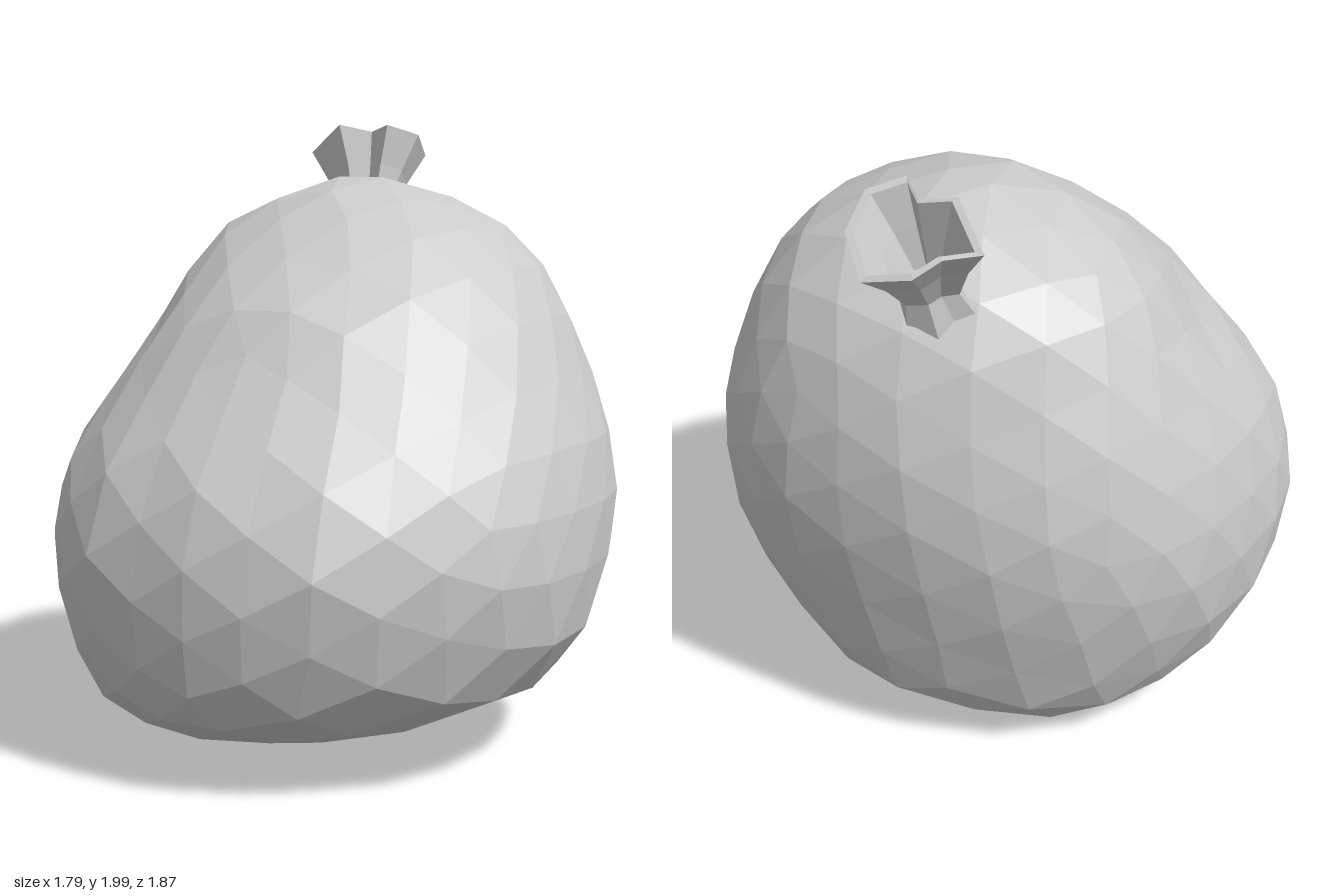
import * as THREE from 'three';

// Horizontal sections of the sack: [y, xMin, xMax, zBack, zFront]
const SECTIONS = [
  [1.83, -0.06, -0.06, -0.28, -0.28],
  [1.82, -0.14, 0.03, -0.43, -0.12],
  [1.78, -0.28, 0.22, -0.54, 0.02],
  [1.7, -0.48, 0.42, -0.67, 0.13],
  [1.6, -0.59, 0.53, -0.78, 0.26],
  [1.46, -0.67, 0.65, -0.86, 0.46],
  [1.2, -0.79, 0.78, -0.93, 0.65],
  [0.95, -0.88, 0.89, -0.94, 0.87],
  [0.7, -0.91, 0.91, -0.9, 0.95],
  [0.44, -0.87, 0.86, -0.83, 0.92],
  [0.29, -0.81, 0.78, -0.78, 0.87],
  [0.2, -0.76, 0.61, -0.73, 0.78],
  [0.1, -0.68, 0.38, -0.6, 0.6],
  [0.05, -0.59, 0.15, -0.49, 0.38],
  [0.01, -0.47, -0.1, -0.35, 0.1],
  [0, -0.28, -0.28, -0.1, -0.1],
];

// Distance along the profile, so that facets stay even in size
const radius = (s) => (s[2] - s[1] + s[4] - s[3]) / 4;
const dist = [0];
for (let i = 1; i < SECTIONS.length; i++) {
  const a = SECTIONS[i - 1], b = SECTIONS[i];
  dist.push(dist[i - 1] + Math.hypot(b[0] - a[0], radius(b) - radius(a)));
}

function sectionAt(t) {
  const d = t * dist[dist.length - 1];
  let i = 1;
  while (i < dist.length - 1 && dist[i] < d) i++;
  const k = (d - dist[i - 1]) / (dist[i] - dist[i - 1]);
  return SECTIONS[i].map((v, j) => THREE.MathUtils.lerp(SECTIONS[i - 1][j], v, k));
}

// Faceted sphere reshaped to follow the sections
function bodyGeometry() {
  const geo = new THREE.IcosahedronGeometry(1, 4);
  const pos = geo.attributes.position;
  const dir = new THREE.Vector3(), p = new THREE.Vector3();
  const dent = new THREE.Vector3(-0.52, 1.35, 0.2);
  const axis = new THREE.Vector3(0, 0.9, -0.1);
  for (let i = 0; i < pos.count; i++) {
    dir.fromBufferAttribute(pos, i).normalize();
    const [y, x0, x1, z0, z1] = sectionAt(Math.acos(THREE.MathUtils.clamp(dir.y, -1, 1)) / Math.PI);
    const h = Math.hypot(dir.x, dir.z) || 1;
    const c = dir.x / h, s = dir.z / h;
    p.set((x0 + x1) / 2 + c * (x1 - x0) / 2, y, (z0 + z1) / 2 + s * (z1 - z0) / 2);
    // the back bulges toward one side
    if (s < 0) p.x += 0.12 * s * s * (1 - c * c) * Math.sin(Math.PI * y / 1.83);
    // soft dent on the shoulder and slight unevenness of the cloth
    const push = -0.05 * Math.exp(-p.distanceToSquared(dent) / 0.06)
      + 0.012 * Math.sin(7 * p.x + 2) * Math.sin(6 * p.y) * Math.sin(8 * p.z + 1);
    p.addScaledVector(dir.subVectors(p, axis).normalize(), push);
    pos.setXYZ(i, p.x, Math.max(0, p.y), p.z);
  }
  geo.computeVertexNormals();
  return geo;
}

// Skin over a series of closed loops of points
function loft(loops) {
  const n = loops[0].length, verts = [], index = [];
  loops.forEach((loop) => loop.forEach((v) => verts.push(v.x, v.y, v.z)));
  for (let r = 0; r < loops.length - 1; r++) {
    for (let i = 0; i < n; i++) {
      const a = r * n + i, b = r * n + (i + 1) % n;
      index.push(a, b, b + n, a, b + n, a + n);
    }
  }
  let geo = new THREE.BufferGeometry();
  geo.setAttribute('position', new THREE.Float32BufferAttribute(verts, 3));
  geo.setIndex(index);
  geo = geo.toNonIndexed();
  geo.computeVertexNormals();
  return geo;
}

// Gathered neck: skirt, pinch, flared ragged rim, then the inside of the funnel
function neckGeometry() {
  const rim = [
    [-0.5, 1.9, -0.74], [-0.35, 2.0, -0.67], [-0.24, 1.975, -0.71],
    [-0.15, 2.0, -0.655], [-0.07, 1.965, -0.74], [-0.1, 1.89, -0.86],
    [-0.23, 1.81, -0.94], [-0.38, 1.85, -0.9], [-0.42, 1.89, -0.82],
  ].map((v) => new THREE.Vector3(...v));
  const rimCentre = new THREE.Vector3(-0.27, 1.92, -0.78);
  const ring = (x, y, z, scale) => rim.map((v) =>
    v.clone().sub(rimCentre).multiplyScalar(scale).add(new THREE.Vector3(x, y, z)));
  return loft([
    ring(-0.23, 1.6, -0.63, 0.65),
    ring(-0.235, 1.7, -0.675, 0.45),
    ring(-0.25, 1.81, -0.725, 0.68),
    rim,
    ring(-0.27, 1.92, -0.78, 0.87),
    ring(-0.25, 1.81, -0.725, 0.55),
    ring(-0.235, 1.7, -0.675, 0.3),
    ring(-0.235, 1.69, -0.67, 0.0),
  ]);
}

export function createModel() {
  const group = new THREE.Group();
  group.name = 'sack';
  const material = new THREE.MeshStandardMaterial({ color: 0xcccccc, flatShading: true });

  const body = new THREE.Mesh(bodyGeometry(), material);
  body.name = 'sackBody';
  const neck = new THREE.Mesh(neckGeometry(), material);
  neck.name = 'gatheredNeck';

  group.add(body, neck);
  return group;
}
